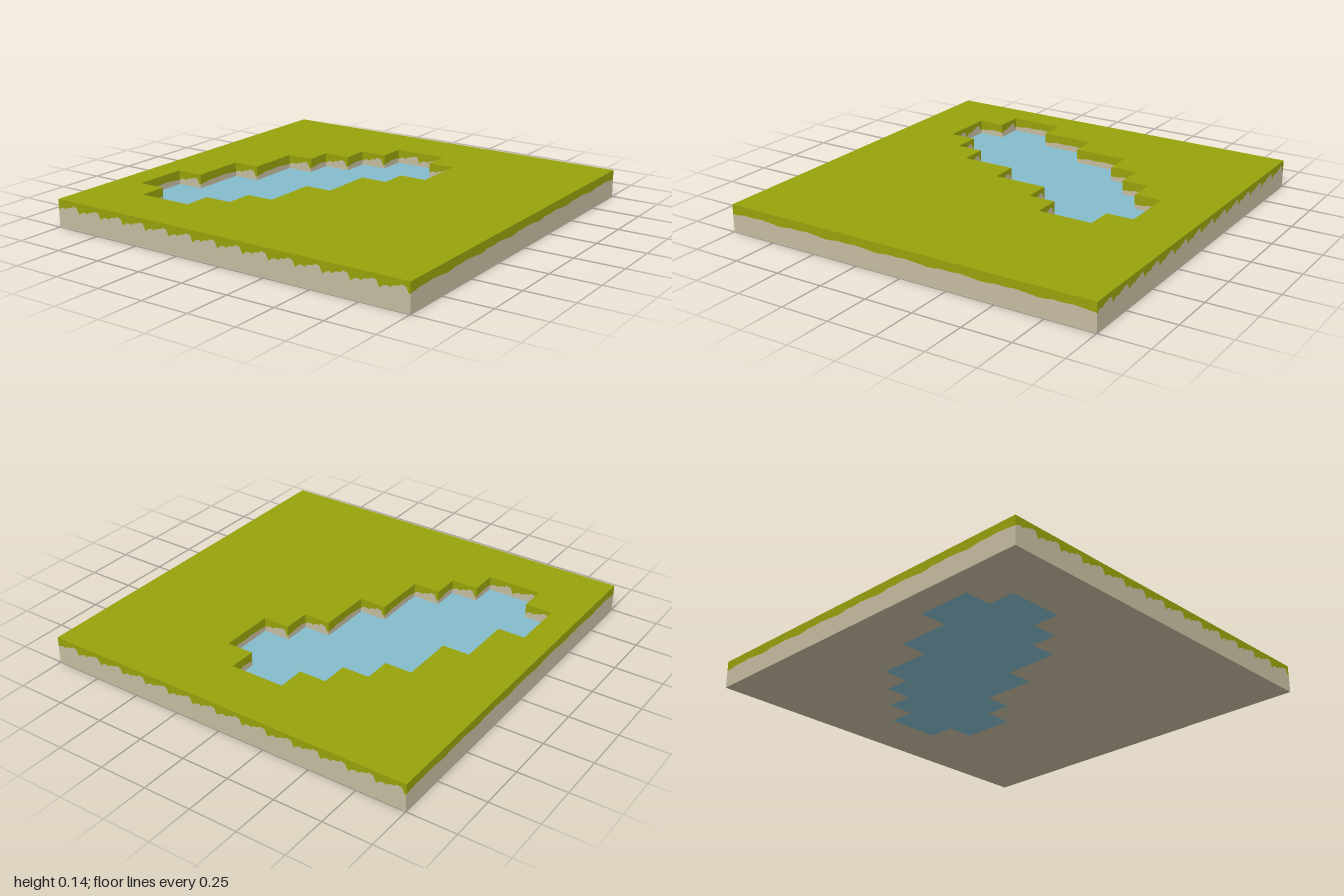
import * as THREE from 'three';
import { mergeGeometries } from 'three/addons/utils/BufferGeometryUtils.js';

const U = 1 / 7;        // one grid cell; the tile is 14 x 14 cells
const TOP = U;          // tile thickness
const WATER = 0.07;     // water level

// Grass fringe height along a wall: [cells, y]
const ragged = [[0, 0.09], [0.08, 0.099], [0.2, 0.104], [0.32, 0.098], [0.42, 0.109],
  [0.6, 0.112], [0.68, 0.121], [0.85, 0.117], [0.92, 0.095], [0.97, 0.085]];
const gentle = [[0, 0.092], [0.3, 0.094], [0.5, 0.1], [0.9, 0.098], [1.2, 0.102],
  [1.6, 0.098], [1.85, 0.095]];

// Pool rows from back to front: left and right edge in cells, first row at z = -5
const rows = [[-1, 1], [-2, 2], [-3, 2], [-4, 1], [-4, 0], [-5, 0], [-5, -1], [-6, -1], [-6, -2], [-5, -3]];

// Stepped pool outline, clockwise seen from above, without collinear points
function poolOutline() {
  const right = [], left = [];
  rows.forEach(([l, r], i) => {
    right.push([r, i - 5], [r, i - 4]);
    left.push([l, i - 5], [l, i - 4]);
  });
  const all = [...right, ...left.reverse()];
  return all.filter((p, i) => {
    const a = all[(i + all.length - 1) % all.length], b = all[(i + 1) % all.length];
    const same = p[0] === b[0] && p[1] === b[1];
    const line = (a[0] === p[0] && p[0] === b[0]) || (a[1] === p[1] && p[1] === b[1]);
    return !same && !line;
  }).filter((p, i, q) => {
    const a = q[(i + q.length - 1) % q.length], b = q[(i + 1) % q.length];
    return !((a[0] === p[0] && p[0] === b[0]) || (a[1] === p[1] && p[1] === b[1]));
  });
}

const toPoints = (cells, sign) => cells.map(([x, z]) => new THREE.Vector2(x * U, sign * z * U));

// Upper (grass) and lower (soil) faces of one wall, facing left of its direction
function wallFaces([x0, z0], [x1, z1]) {
  const cells = Math.hypot(x1 - x0, z1 - z0), length = cells * U;
  const profile = z0 === z1 ? ragged : gentle;
  const period = z0 === z1 ? 1 : 2;
  const edge = [];
  for (let c = 0; c < cells; c += period) {
    for (const [s, y] of profile) if (c + s < cells) edge.push(new THREE.Vector2((c + s) * U, y));
  }
  edge.push(new THREE.Vector2(length, profile[0][1]));
  const band = (y) => {
    const shape = new THREE.Shape([new THREE.Vector2(0, y), ...edge, new THREE.Vector2(length, y)]);
    return new THREE.ShapeGeometry(shape)
      .rotateY(Math.atan2(z0 - z1, x1 - x0))
      .translate(x0 * U, 0, z0 * U);
  };
  return { grass: band(TOP), soil: band(0) };
}

// Walls along a closed outline, merged by colour
function walls(outline) {
  const faces = outline.map((p, i) => wallFaces(p, outline[(i + 1) % outline.length]));
  return {
    grass: mergeGeometries(faces.map((f) => f.grass)),
    soil: mergeGeometries(faces.map((f) => f.soil)),
  };
}

export function createModel() {
  const model = new THREE.Group();
  model.name = 'pondTile';
  const material = (name, color) => {
    const m = new THREE.MeshStandardMaterial({ color });
    m.name = name;
    return m;
  };
  const grass = material('grassGreen', 0x98a20c);
  const soil = material('sandySoil', 0xc6bda1);
  const water = material('waterBlue', 0x84bccb);
  const add = (name, geometry, mat) => {
    const mesh = new THREE.Mesh(geometry, mat);
    mesh.name = name;
    model.add(mesh);
  };

  const pool = poolOutline();
  const border = [[-7, 7], [7, 7], [7, -7], [-7, -7]];

  // Flat square with the pool cut out
  const sheet = (sign) => {
    const shape = new THREE.Shape(toPoints(border, sign));
    shape.holes.push(new THREE.Path(toPoints(pool, sign)));
    return new THREE.ShapeGeometry(shape);
  };
  add('grassTop', sheet(-1).rotateX(-Math.PI / 2).translate(0, TOP, 0), grass);
  add('soilBottom', sheet(1).rotateX(Math.PI / 2), soil);

  // Outer sides and pool banks, each with a ragged grass fringe over soil
  for (const [name, outline] of [['side', border], ['bank', pool]]) {
    const w = walls(outline);
    add(name + 'GrassFringe', w.grass, grass);
    add(name + 'Soil', w.soil, soil);
  }

  // Water slab filling the lower part of the pool
  const slab = new THREE.ExtrudeGeometry(new THREE.Shape(toPoints(pool, -1)), { depth: WATER, bevelEnabled: false });
  add('water', slab.rotateX(-Math.PI / 2), water);

  return model;
}
